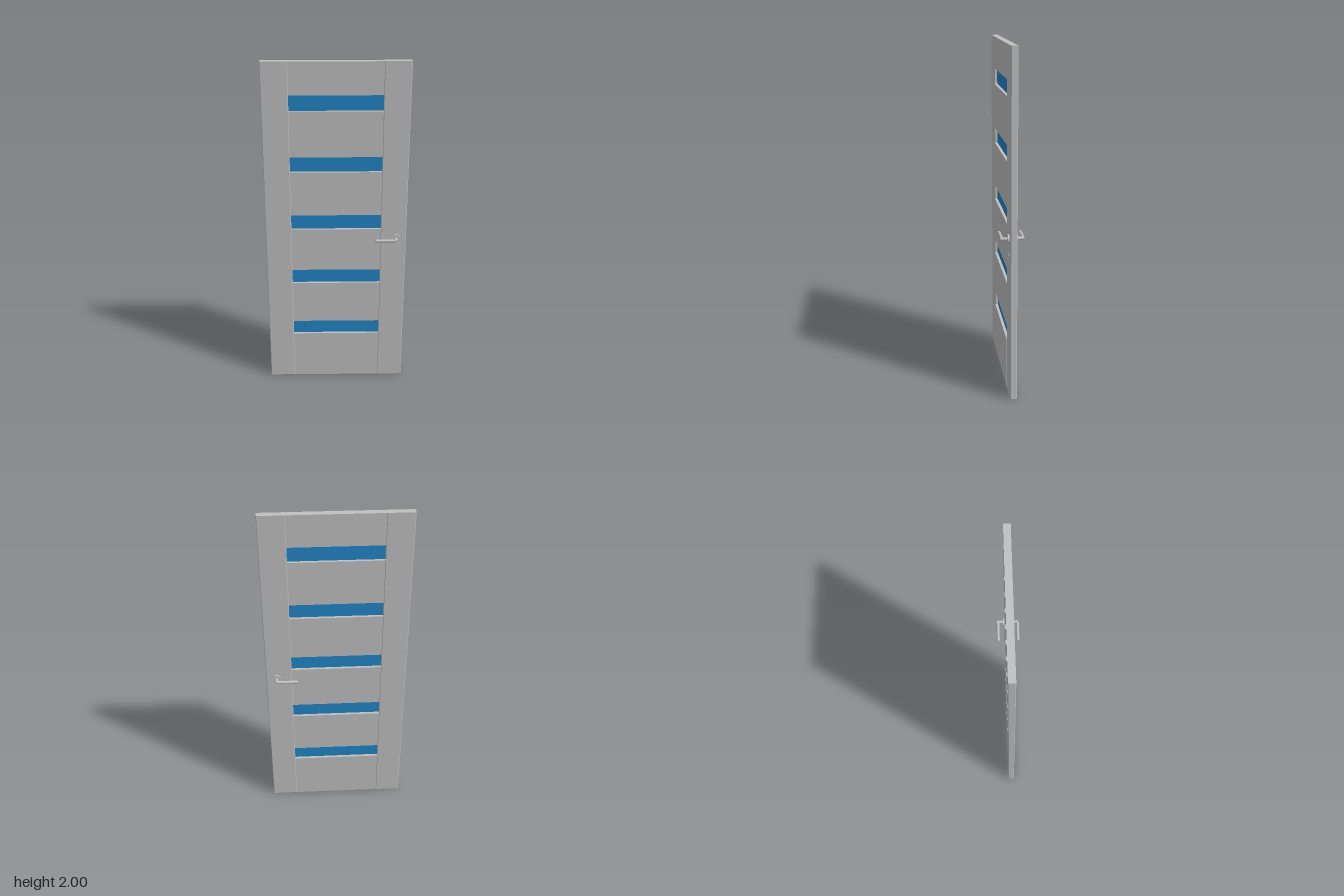
import * as THREE from 'three';

export function createModel() {
  const door = new THREE.Group();
  door.name = 'door';

  const grey = new THREE.MeshStandardMaterial({ color: 0xc0c0c0 });
  grey.name = 'grey';
  const blue = new THREE.MeshStandardMaterial({ color: 0x2186c8 });
  blue.name = 'blue glass';

  const H = 2, halfW = 0.413, seam = 0.263, halfT = 0.019;

  const add = (parent, name, geometry, material, x, y, z) => {
    const mesh = new THREE.Mesh(geometry, material);
    mesh.name = name;
    mesh.position.set(x, y, z);
    parent.add(mesh);
    return mesh;
  };

  // Upright stiles with slightly chamfered long edges
  const w = (halfW - seam) / 2, c = 0.003;
  const outline = new THREE.Shape([
    [-w + c, -halfT], [w - c, -halfT], [w, -halfT + c], [w, halfT - c],
    [w - c, halfT], [-w + c, halfT], [-w, halfT - c], [-w, -halfT + c],
  ].map(([x, y]) => new THREE.Vector2(x, y)));
  const stileGeo = new THREE.ExtrudeGeometry(outline, { depth: H, bevelEnabled: false });
  stileGeo.rotateX(-Math.PI / 2);
  add(door, 'leftStile', stileGeo, grey, seam + w, 0, 0);
  add(door, 'rightStile', stileGeo, grey, -seam - w, 0, 0);

  // Rails stacked between five recessed glass strips
  const glassH = 0.09, first = 0.305, pitch = 0.355;
  let bottom = 0;
  for (let i = 0; i <= 5; i++) {
    const top = i < 5 ? first + i * pitch : H;
    add(door, 'rail', new THREE.BoxGeometry(2 * seam, top - bottom, 2 * halfT),
      grey, 0, (top + bottom) / 2, 0);
    if (i < 5) {
      add(door, 'glassStrip', new THREE.BoxGeometry(2 * seam, glassH, 0.006),
        blue, 0, top + glassH / 2, 0);
    }
    bottom = top + glassH;
  }

  // Lever handle and keyhole cover on both faces
  const hx = 0.352, hy = 0.957, barZ = 0.0595, r = 0.0085;
  for (const s of [1, -1]) {
    const handle = new THREE.Group();
    handle.name = s > 0 ? 'frontHandle' : 'backHandle';
    door.add(handle);

    const disc = (name, radius, z0, z1, y) => {
      const g = new THREE.CylinderGeometry(radius, radius, z1 - z0, 32);
      g.rotateX(Math.PI / 2);
      add(handle, name, g, grey, hx, y, s * (z0 + z1) / 2);
    };
    disc('rosette', 0.026, halfT - 0.002, 0.028, hy);
    disc('shank', r, 0.026, 0.064, hy);
    disc('keyholeCover', 0.01, halfT - 0.002, 0.022, 0.86);

    const bar = new THREE.CylinderGeometry(r, r, 0.111, 24);
    bar.rotateZ(Math.PI / 2);
    add(handle, 'lever', bar, grey, 0.2905, hy, s * barZ);
    add(handle, 'leverTip', new THREE.SphereGeometry(r, 24, 16), grey, 0.235, hy, s * barZ);
  }

  return door;
}
